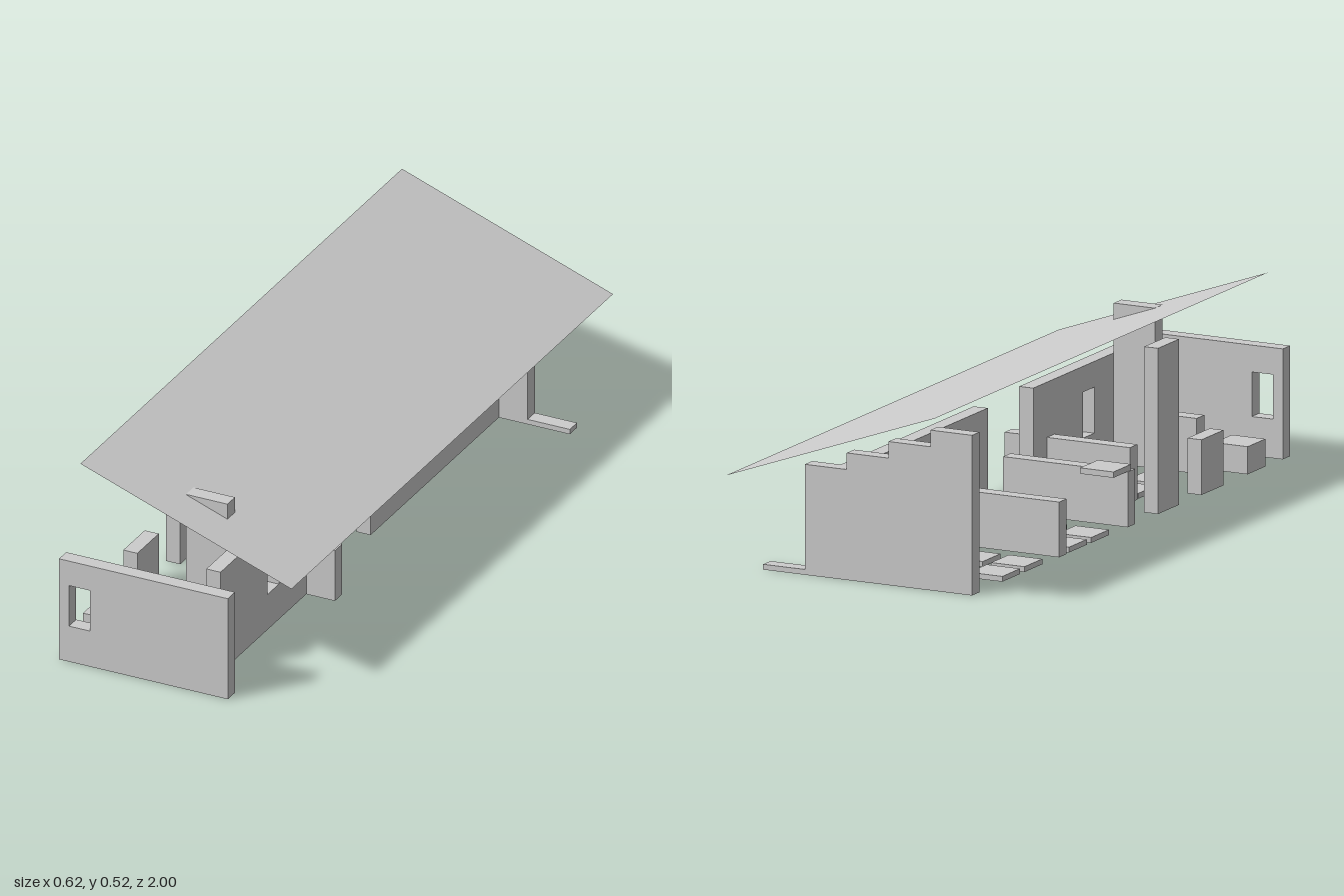
import * as THREE from 'three';

export function createModel() {
  const model = new THREE.Group();
  model.name = 'house';
  const grey = new THREE.MeshStandardMaterial({ color: 0xcccccc });
  grey.name = 'plain grey';
  const roofGrey = grey.clone();
  roofGrey.name = 'plain grey sheet';
  roofGrey.side = THREE.DoubleSide;

  const add = (name, geometry, material = grey) => {
    const mesh = new THREE.Mesh(geometry, material);
    mesh.name = name;
    model.add(mesh);
    return mesh;
  };

  // Box given by its lower and upper limits on each axis
  const box = (name, x0, x1, y0, y1, z0, z1) =>
    add(name, new THREE.BoxGeometry(x1 - x0, y1 - y0, z1 - z0)
      .translate((x0 + x1) / 2, (y0 + y1) / 2, (z0 + z1) / 2));

  const outline = (pts) => pts.map(([x, y]) => new THREE.Vector2(x, y));
  const rect = (a0, a1, b0, b1) => outline([[a0, b0], [a1, b0], [a1, b1], [a0, b1]]);
  const T = 0.042; // wall thickness

  // Flat wall in the xy plane with an optional window opening
  const wallGeometry = (points, opening) => {
    const shape = new THREE.Shape(points);
    if (opening) shape.holes.push(new THREE.Path(opening));
    return new THREE.ExtrudeGeometry(shape, { depth: T, bevelEnabled: false });
  };

  // Free-standing front wall
  add('frontWall', wallGeometry(rect(-0.3125, 0.1875, 0, 0.3), rect(-0.283, -0.22, 0.106, 0.227)))
    .position.z = 1 - T;

  // Rear wall, its top stepping down under the roof slope
  const steps = [[-0.3125, 0], [0.1875, 0]];
  for (let i = 0; i < 4; i++) {
    const x = 0.1875 - i * 0.125, y = 0.3 + i * 0.045;
    steps.push([x, y], [x - 0.125, y]);
  }
  add('rearWall', wallGeometry(outline(steps))).position.z = -0.79;
  box('rearFooting', 0.1875, 0.3125, 0, 0.0145, -0.79, -0.748);

  // Long side walls, each with one window
  const sideWall = (name, z0, z1, w0, w1) => {
    const g = wallGeometry(rect(z0, z1, 0, 0.3), rect(w0, w1, 0.105, 0.23));
    add(name, g.rotateY(-Math.PI / 2).translate(0.1025, 0, 0));
  };
  sideWall('frontSideWall', 0.256, 0.875, 0.535, 0.6);
  sideWall('rearSideWall', -0.748, 0, -0.595, -0.53);

  // Low partitions across the rooms
  const inner = 0.0605;
  box('rearPartition', -0.3125, inner, 0, 0.15, -0.3, -0.258);
  box('middlePartition', -0.3125, inner, 0, 0.15, 0.086, 0.128);
  box('crossPartitionInner', -0.1875, inner, 0, 0.15, 0.333, 0.375);
  box('crossPartitionOuter', 0.1025, 0.1875, 0, 0.15, 0.333, 0.375);
  box('frontPartition', -0.1875, -0.0625, 0, 0.15, 0.708, 0.752);

  // Chimney through the roof, tall pillar and short post
  box('chimney', -0.0625, inner, 0, 0.4355, 0.708, 0.752);
  box('pillar', -0.3125, -0.271, 0, 0.45, 0.256, 0.375);
  box('post', -0.3125, -0.271, 0, 0.15, 0.5, 0.625);

  // Square seats and floor pads on a regular grid
  const pad = (name, x, z, y0, y1) => box(name, x - 0.05, x + 0.05, y0, y1, z - 0.05, z + 0.05);
  for (const [xs, zs] of [
    [[-0.26, -0.135], [-0.565, -0.44]],
    [[-0.26, -0.135], [-0.19, -0.065]],
    [[-0.135, -0.01], [0.435, 0.56]],
  ]) for (const x of xs) for (const z of zs) pad('floorPad', x, z, 0, 0.0145);
  pad('counterTop', -0.26, 0.06, 0.15, 0.166);
  for (const x of [-0.26, -0.135]) pad('seatBlock', x, 0.815, 0, 0.075);

  // Single sloping roof sheet
  const roof = add('roof', new THREE.PlaneGeometry(Math.hypot(0.625, 0.225), 1.875).rotateX(-Math.PI / 2), roofGrey);
  roof.rotation.z = -Math.atan2(0.225, 0.625);
  roof.position.set(0, 0.4125, -0.0625);

  return model;
}
